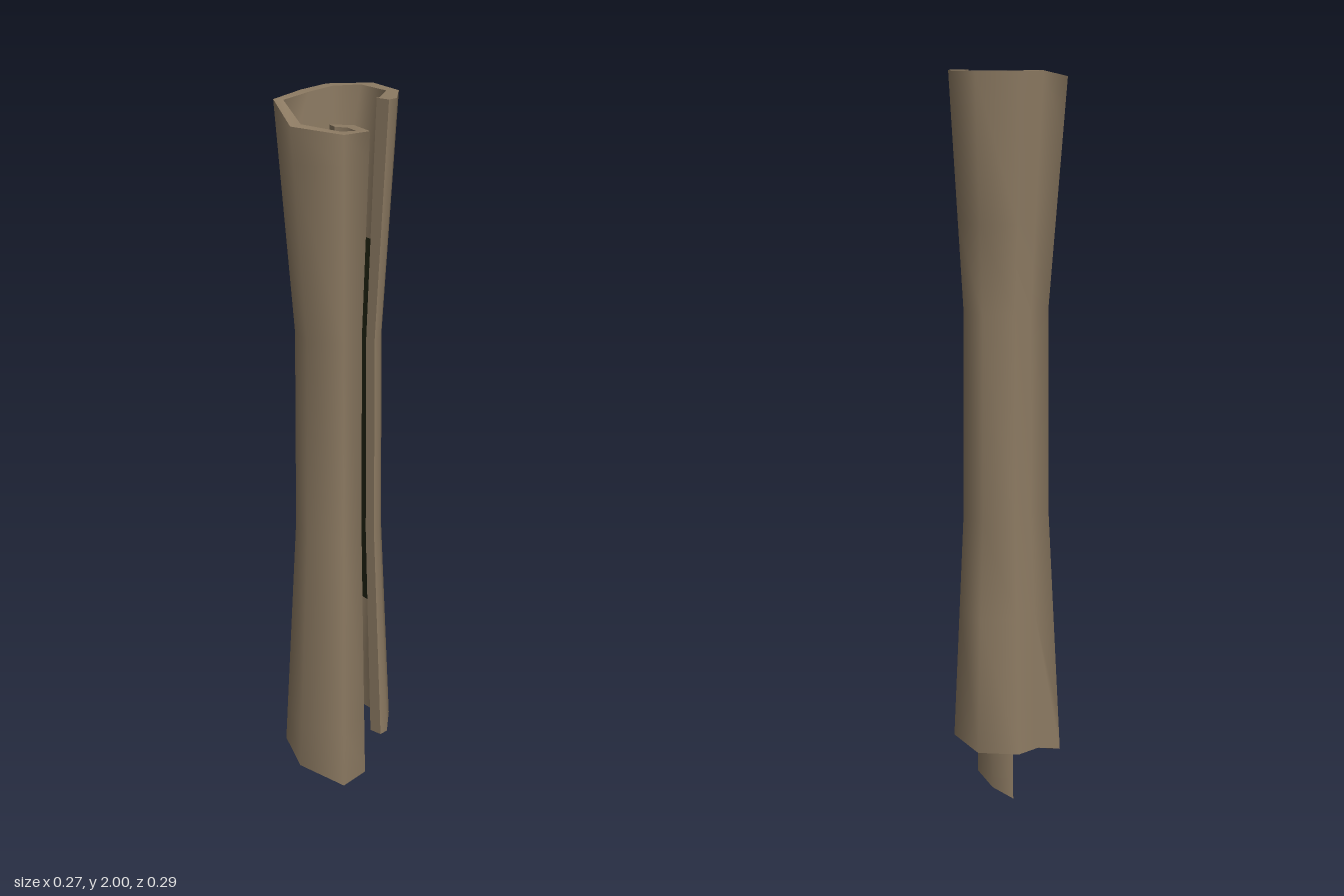
import * as THREE from 'three';

// Cross-section stations along the curl, from loose outer edge to inner tip:
// outer x, outer z, inner x, inner z, top y, bottom y
const STATIONS = [
  [0.13, 0.0, 0.095, 0.0, 2.0, 0.21],
  [0.135, -0.025, 0.098, -0.005, 2.0, 0.21],
  [0.087, -0.105, 0.065, -0.084, 2.0, 0.21],
  [-0.018, -0.147, -0.028, -0.11, 2.0, 0.2],
  [-0.103, -0.072, -0.073, -0.056, 2.0, 0.185],
  [-0.108, 0.025, -0.076, 0.035, 2.0, 0.165],
  [-0.138, 0.095, -0.113, 0.088, 1.985, 0.14],
  [-0.05, 0.144, -0.045, 0.11, 1.94, 0.11],
  [0.077, 0.105, 0.048, 0.081, 1.93, 0.07],
  [0.077, 0.0, 0.05, 0.018, 1.92, 0.055],
  [0.008, -0.031, 0.011, 0.0, 1.92, 0.035],
  [-0.043, -0.002, -0.017, 0.013, 1.92, 0.0],
];
const WAIST_TOP = 1.4, WAIST_LOW = 0.85;

// The roll is narrow in the middle and flares to both ends
function flare(y, top, bottom) {
  if (y > WAIST_TOP) return THREE.MathUtils.mapLinear(y, WAIST_TOP, top, 0.74, 1);
  if (y > WAIST_LOW) return THREE.MathUtils.mapLinear(y, WAIST_LOW, WAIST_TOP, 0.77, 0.74);
  return THREE.MathUtils.mapLinear(y, bottom, WAIST_LOW, 1, 0.77);
}

// Rows of points running down one face of the bark; rows 1 and 4 bound the dark lining
function surface(offset) {
  return [0, 1, 2, 3, 4, 5].map((r) => STATIONS.map((s, i) => {
    const top = s[4], bottom = s[5], deep = i >= 6;
    const y = [top, deep ? 1.85 : 1.63, WAIST_TOP, WAIST_LOW, deep ? 0.25 : 0.58, bottom][r];
    const k = flare(y, top, bottom);
    return new THREE.Vector3(s[offset] * k, y, s[offset + 1] * k);
  }));
}

// Smooth sheet over a grid of points
function sheet(rows, flip = false) {
  const n = rows[0].length, index = [];
  for (let r = 0; r < rows.length - 1; r++) {
    for (let i = 0; i < n - 1; i++) {
      const a = r * n + i, b = a + n, c = b + 1, d = a + 1;
      if (flip) index.push(a, c, b, a, d, c);
      else index.push(a, b, c, a, c, d);
    }
  }
  const g = new THREE.BufferGeometry().setFromPoints(rows.flat());
  g.setIndex(index);
  g.computeVertexNormals();
  return g;
}

export function createModel() {
  const group = new THREE.Group();
  group.name = 'curledBark';
  const bark = new THREE.MeshStandardMaterial({ color: 0x8c7a62 });
  bark.name = 'bark brown';
  const dark = new THREE.MeshStandardMaterial({ color: 0x1e2110 });
  dark.name = 'dark lining';
  const add = (name, geometry, material) => {
    const mesh = new THREE.Mesh(geometry, material);
    mesh.name = name;
    group.add(mesh);
  };

  const outer = surface(0), inner = surface(2), last = STATIONS.length - 1;

  // Outer and inner faces
  add('outerBark', sheet(outer), bark);
  add('innerBarkTop', sheet(inner.slice(0, 2), true), bark);
  add('innerLining', sheet(inner.slice(1, 5), true), dark);
  add('innerBarkBottom', sheet(inner.slice(4), true), bark);

  // Cut rims and the two long edges
  add('topRim', sheet([inner[0], outer[0]]), bark);
  add('bottomRim', sheet([outer[5], inner[5]]), bark);
  add('looseEdge', sheet(outer.map((row, r) => [inner[r][0], row[0]])), bark);
  add('curledEdge', sheet(outer.map((row, r) => [row[last], inner[r][last]])), bark);
  return group;
}
